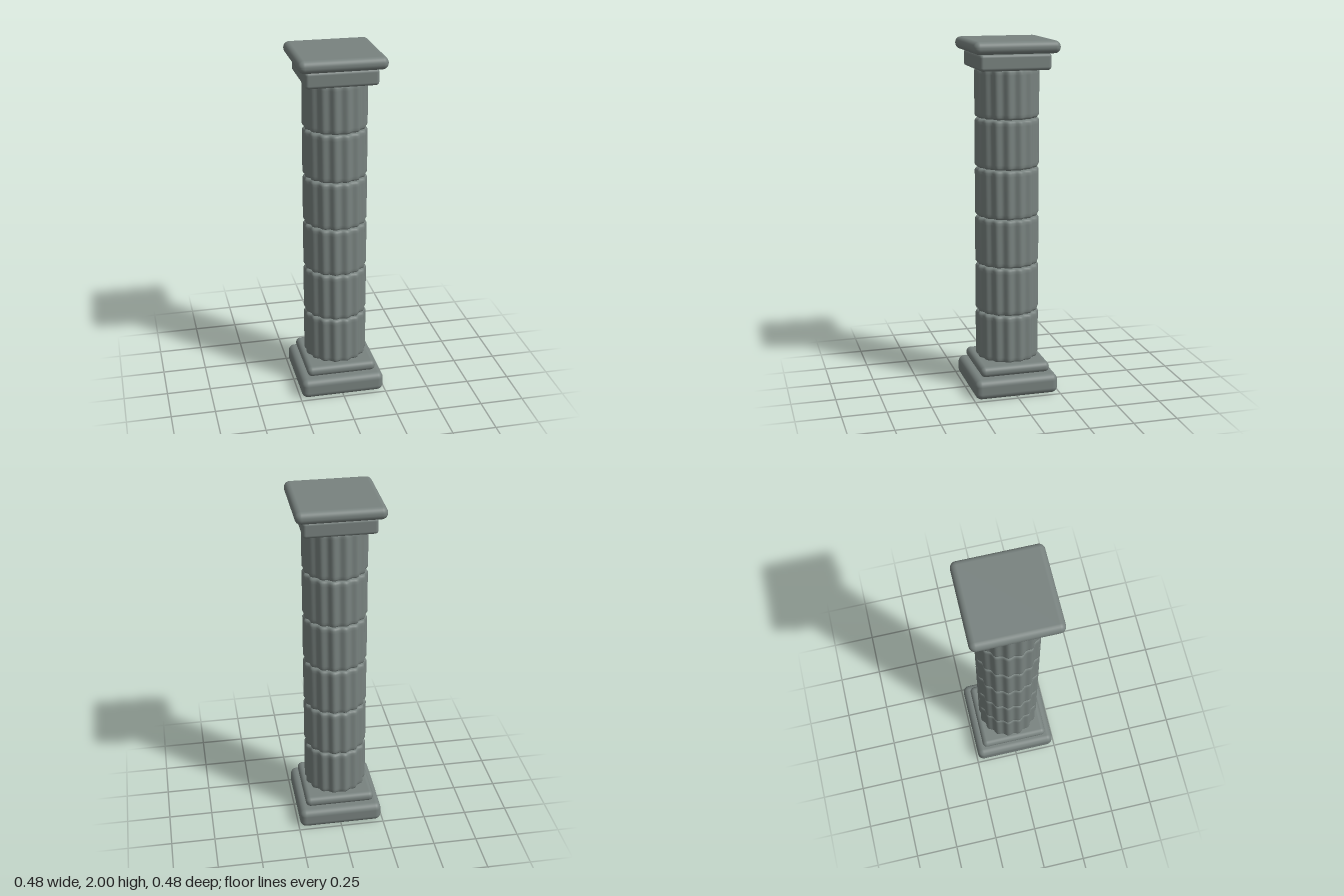
import * as THREE from 'three';
import { RoundedBoxGeometry } from 'three/addons/geometries/RoundedBoxGeometry.js';
import { mergeVertices } from 'three/addons/utils/BufferGeometryUtils.js';

const stone = new THREE.MeshStandardMaterial({ color: 0x78827f });
const FLUTES = 16;
const DRUMS = 6;

// Square slab with rounded edges, between two heights
function slab(name, width, bottom, top, radius) {
  const geometry = new RoundedBoxGeometry(width, top - bottom, width, 4, radius);
  const mesh = new THREE.Mesh(geometry, stone);
  mesh.name = name;
  mesh.position.y = (bottom + top) / 2;
  return mesh;
}

// Closed drum with softened rims and shallow flutes around its side
function drumGeometry(height, radius, depth) {
  const profile = [
    [0, 0], [radius - 0.03, 0], [radius - 0.014, 0], [radius - 0.005, 0.004], [radius, 0.014],
    [radius, 0.03], [radius, height - 0.03],
    [radius, height - 0.014], [radius - 0.005, height - 0.004], [radius - 0.014, height],
    [radius - 0.03, height], [0, height],
  ].map(([x, y]) => new THREE.Vector2(x, y));
  let geometry = new THREE.LatheGeometry(profile, FLUTES * 8);
  const p = geometry.attributes.position;
  for (let i = 0; i < p.count; i++) {
    const angle = Math.atan2(p.getX(i), p.getZ(i));
    const groove = 0.5 + 0.5 * Math.cos(FLUTES * angle);
    const scale = 1 - (depth / radius) * groove;
    p.setX(i, p.getX(i) * scale);
    p.setZ(i, p.getZ(i) * scale);
  }
  // Weld the seam so the shading runs smoothly around
  geometry.deleteAttribute('uv');
  geometry.deleteAttribute('normal');
  geometry = mergeVertices(geometry, 1e-5);
  geometry.computeVertexNormals();
  return geometry;
}

export function createModel() {
  const column = new THREE.Group();
  column.name = 'column';

  // Base
  column.add(slab('plinth', 0.482, 0, 0.113, 0.036));
  column.add(slab('baseStep', 0.402, 0.117, 0.176, 0.028));

  // Shaft of stacked drums with narrow joints
  const shaft = new THREE.Group();
  shaft.name = 'shaft';
  const pitch = 0.2775;
  const geometry = drumGeometry(pitch - 0.006, 0.18, 0.012);
  for (let i = 0; i < DRUMS; i++) {
    const drum = new THREE.Mesh(geometry, stone);
    drum.name = `drum${i + 1}`;
    drum.position.y = 0.184 + i * pitch;
    shaft.add(drum);
  }
  column.add(shaft);

  // Capital
  column.add(slab('capitalNeck', 0.398, 1.84, 1.93, 0.018));
  column.add(slab('capitalSlab', 0.482, 1.931, 2, 0.033));

  return column;
}
